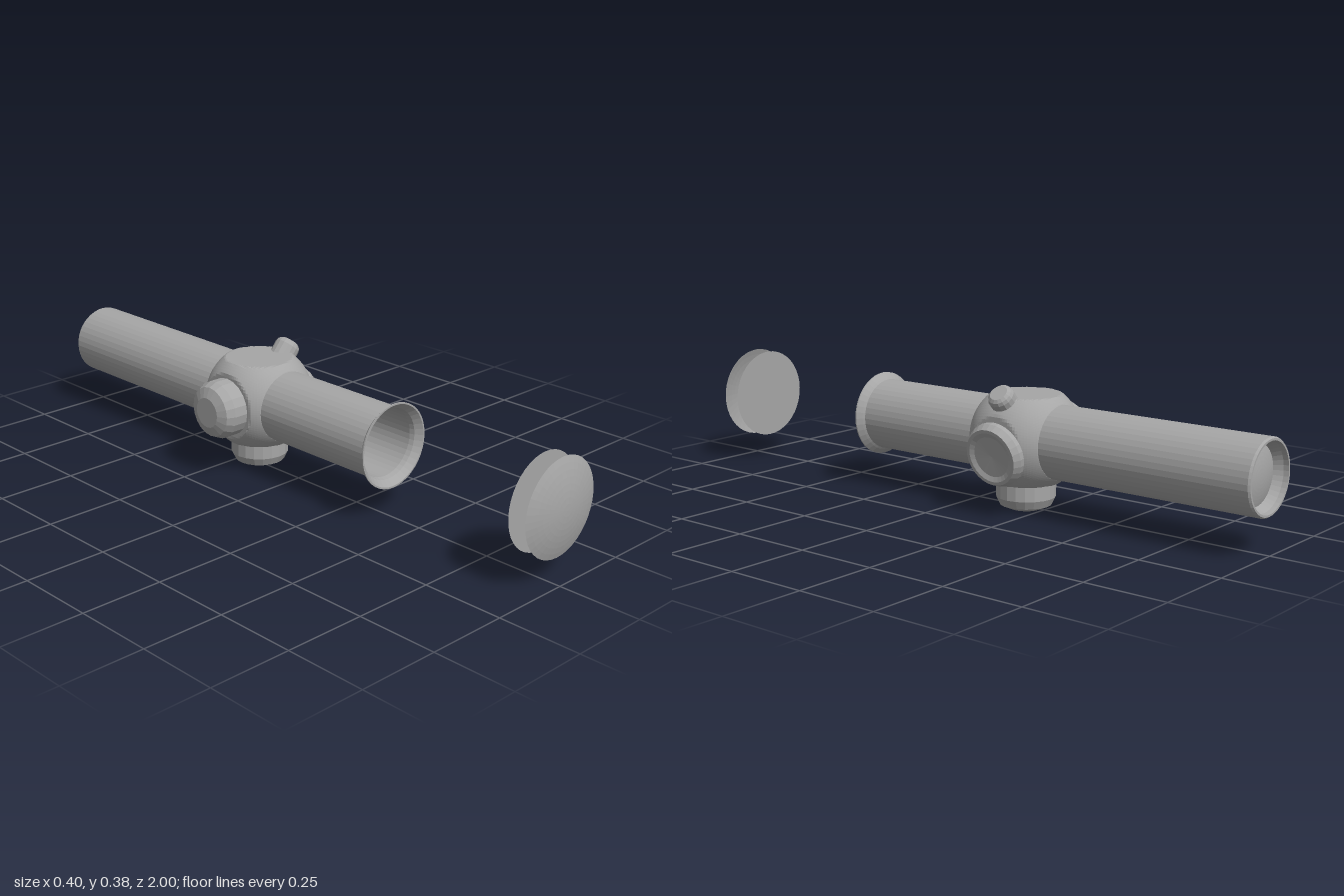
import * as THREE from 'three';

const metal = new THREE.MeshStandardMaterial({ color: 0xa6a6a6, flatShading: true, side: THREE.DoubleSide });
metal.name = 'plain grey';

const UP = new THREE.Vector3(0, 1, 0);
const AXIS = { x: 0.012, y: 0.217 };   // sight line
const HUB_Z = -0.19;

// Turned part: profile of [radius, distance along dir] pairs
function turned(name, profile, sides, dir, z = HUB_Z) {
  const pts = profile.map(([r, d]) => new THREE.Vector2(r, d));
  const mesh = new THREE.Mesh(new THREE.LatheGeometry(pts, sides), metal);
  mesh.name = name;
  mesh.quaternion.setFromUnitVectors(UP, new THREE.Vector3(...dir).normalize());
  mesh.position.set(AXIS.x, AXIS.y, z);
  return mesh;
}

// Shallow spherical cap profile from centre to rim
function capProfile(radius, rimZ, bulge, steps = 8) {
  const R = (radius * radius + bulge * bulge) / (2 * Math.abs(bulge));
  return Array.from({ length: steps + 1 }, (_, i) => {
    const r = radius * (1 - i / steps);
    const h = Math.sqrt(R * R - r * r) - (R - Math.abs(bulge));
    return [r, rimZ + Math.sign(bulge) * h];
  });
}

// Sphere with flats cut on each side
function hubGeometry() {
  const R = 0.168;
  const geo = new THREE.BoxGeometry(2, 2, 2, 28, 28, 28);
  const p = geo.attributes.position;
  const v = new THREE.Vector3();
  for (let i = 0; i < p.count; i++) {
    v.fromBufferAttribute(p, i);
    // even out the grid, then project
    v.set(...v.toArray().map((c) => Math.tan(c * Math.PI / 4))).normalize();
    const limit = Math.min(
      (v.x > 0 ? 0.146 : 0.132) / Math.max(Math.abs(v.x), 1e-6),
      0.131 / Math.max(Math.abs(v.y), 1e-6),
      0.13 / Math.max(Math.abs(v.z), 1e-6));
    v.multiplyScalar(Math.min(R, limit));
    p.setXYZ(i, v.x, v.y, v.z);
  }
  geo.computeVertexNormals();
  return geo;
}

export function createModel() {
  const group = new THREE.Group();
  group.name = 'sightingScope';

  // Hollow tube: outer wall, flared front lip, bore, rear recess
  group.add(turned('tube', [
    [0.085, -0.96], [0.098, -0.985], [0.1, -1], [0.106, -1], [0.11, -0.994],
    [0.11, 0.362], [0.116, 0.367], [0.13, 0.381], [0.13, 0.385],
    [0.125, 0.385], [0.108, 0.365], [0.104, 0.35], [0.104, -0.94], [0.085, -0.96],
  ], 40, [0, 0, 1], 0));
  group.add(turned('rearLens', capProfile(0.086, -0.96, -0.014), 40, [0, 0, 1], 0));

  // Separate front lens: domed face and flat back face
  group.add(turned('frontLensDome', capProfile(0.145, 0.975, 0.025), 40, [0, 0, 1], 0));
  group.add(turned('frontLensBack', [[0, 0.918], [0.143, 0.918]], 40, [0, 0, 1], 0));

  // Central hub
  const hub = new THREE.Mesh(hubGeometry(), metal);
  hub.name = 'hub';
  hub.position.set(AXIS.x, AXIS.y, HUB_Z);
  group.add(hub);

  // Matching adjustment knobs on the side and underneath
  const knob = [[0.09, 0.1], [0.09, 0.177], [0.09, 0.178], [0.078, 0.203], [0.047, 0.216], [0, 0.216]];
  group.add(turned('sideKnob', knob, 20, [-1, 0, 0]));
  group.add(turned('bottomKnob', knob, 20, [0, -1, 0]));

  // Tilted dished cap
  group.add(turned('tiltedCap', [
    [0, 0.134], [0.09, 0.134], [0.097, 0.139], [0.097, 0.154], [0.086, 0.174],
    [0.076, 0.174], [0.062, 0.168], [0, 0.166],
  ], 28, [0.979, -0.2, 0]));

  // Small slanted button
  group.add(turned('slantedButton', [
    [0.04, 0.12], [0.04, 0.183], [0.036, 0.193], [0.027, 0.2], [0, 0.2],
  ], 16, [0.66, 0.75, 0]));

  return group;
}
